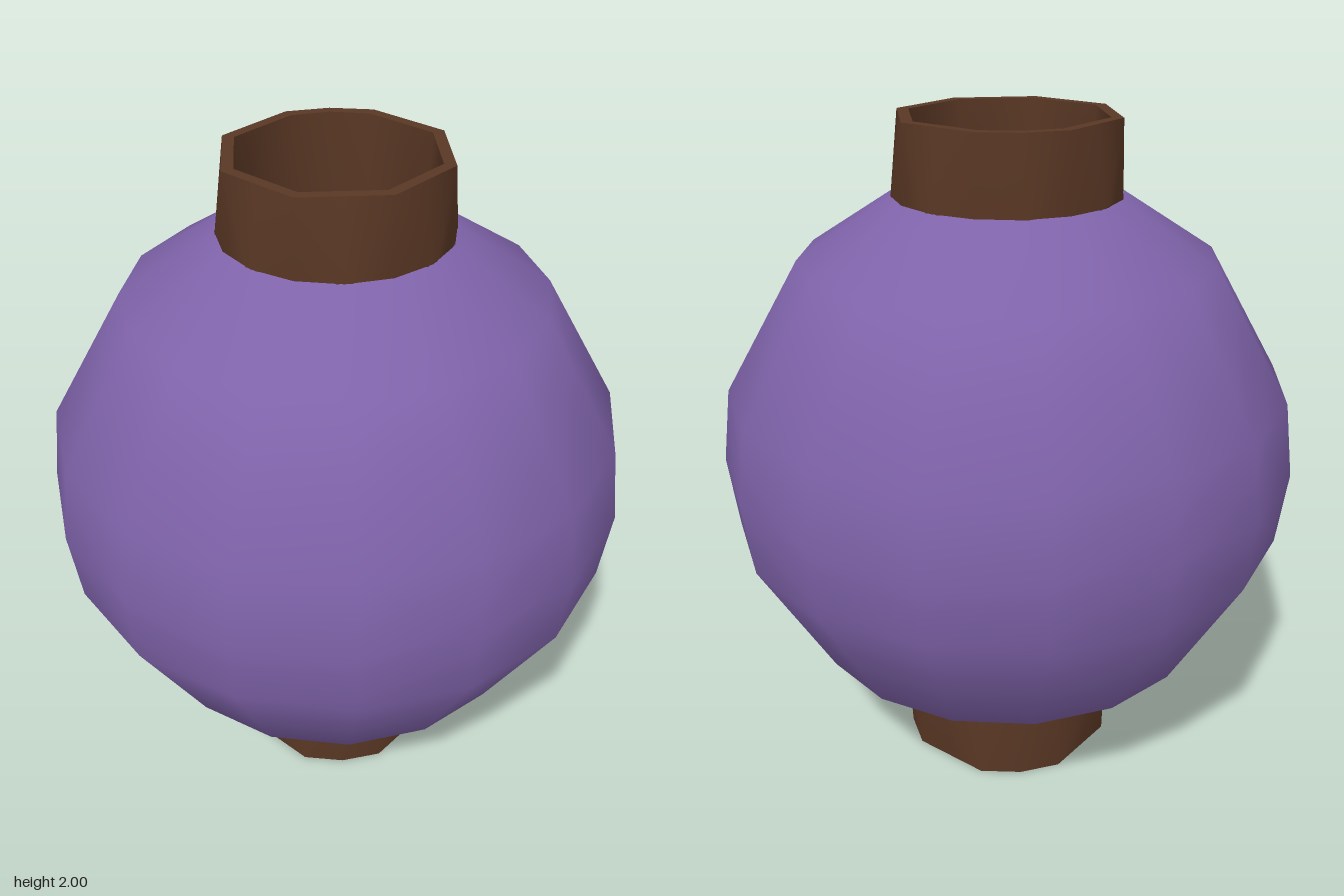
import * as THREE from 'three';
import { toCreasedNormals } from 'three/addons/utils/BufferGeometryUtils.js';

const SIDES = 16;
const R = 0.855;

// Collar: octagonal foot turned against an octagonal rim, with a thin wall.
// "bumps" lists rim positions where the flat side is pushed out to a corner.
function collarGeometry(bumps) {
  const cut = Math.cos(Math.PI / 8);
  const loops = [
    { y: 0.74, even: 0.335, odd: 0.335 * cut },
    { y: 1.0, even: 0.325 * cut, odd: 0.325, bump: 0.322 },
    { y: 1.0, even: 0.29 * cut, odd: 0.29, bump: 0.29 },
    { y: 0.74, even: 0.305, odd: 0.305 * cut },
  ];
  const pos = [], index = [];
  for (const l of loops) {
    for (let k = 0; k < SIDES; k++) {
      const a = (k / SIDES) * Math.PI * 2;
      let r = k % 2 ? l.odd : l.even;
      if (l.bump && bumps.includes(k)) r = l.bump;
      pos.push(r * Math.cos(a), l.y, r * Math.sin(a));
    }
  }
  for (let i = 0; i < 4; i++) {
    for (let k = 0; k < SIDES; k++) {
      const n = (k + 1) % SIDES, j = (i + 1) % 4;
      const a = i * SIDES + k, b = j * SIDES + k, c = j * SIDES + n, d = i * SIDES + n;
      // the diagonal alternates so the twisted facets stay triangular
      if (k % 2) index.push(a, b, d, b, c, d);
      else index.push(a, b, c, a, c, d);
    }
  }
  const g = new THREE.BufferGeometry();
  g.setAttribute('position', new THREE.Float32BufferAttribute(pos, 3));
  g.setIndex(index);
  return toCreasedNormals(g, 0.8);
}

// Round paper shade, open at both ends, with normals pointing from the centre
function shadeGeometry() {
  const half = [[0.855, 0], [0.827, 0.22], [0.605, 0.603], [0.332, 0.78]];
  const profile = [...half.slice(1).reverse().map(([r, y]) => [r, -y]), ...half];
  const g = new THREE.LatheGeometry(profile.map(([r, y]) => new THREE.Vector2(r, y)), SIDES);
  const p = g.attributes.position, v = new THREE.Vector3();
  for (let i = 0; i < p.count; i++) {
    v.fromBufferAttribute(p, i).divideScalar(R).normalize();
    g.attributes.normal.setXYZ(i, v.x, v.y, v.z);
  }
  return g;
}

export function createModel() {
  const purple = new THREE.MeshStandardMaterial({ color: 0x7f63aa, side: THREE.DoubleSide });
  purple.name = 'purple paper';
  const brown = new THREE.MeshStandardMaterial({ color: 0x593724, side: THREE.DoubleSide });
  brown.name = 'brown wood';

  const lantern = new THREE.Group();
  lantern.name = 'lantern';
  const add = (name, geometry, material) => {
    const m = new THREE.Mesh(geometry, material);
    m.name = name;
    m.position.y = 1;
    lantern.add(m);
    return m;
  };

  add('shade', shadeGeometry(), purple);
  add('topCollar', collarGeometry([12]), brown);
  add('bottomCollar', collarGeometry([0, 4, 12]), brown).rotation.x = Math.PI;
  return lantern;
}
